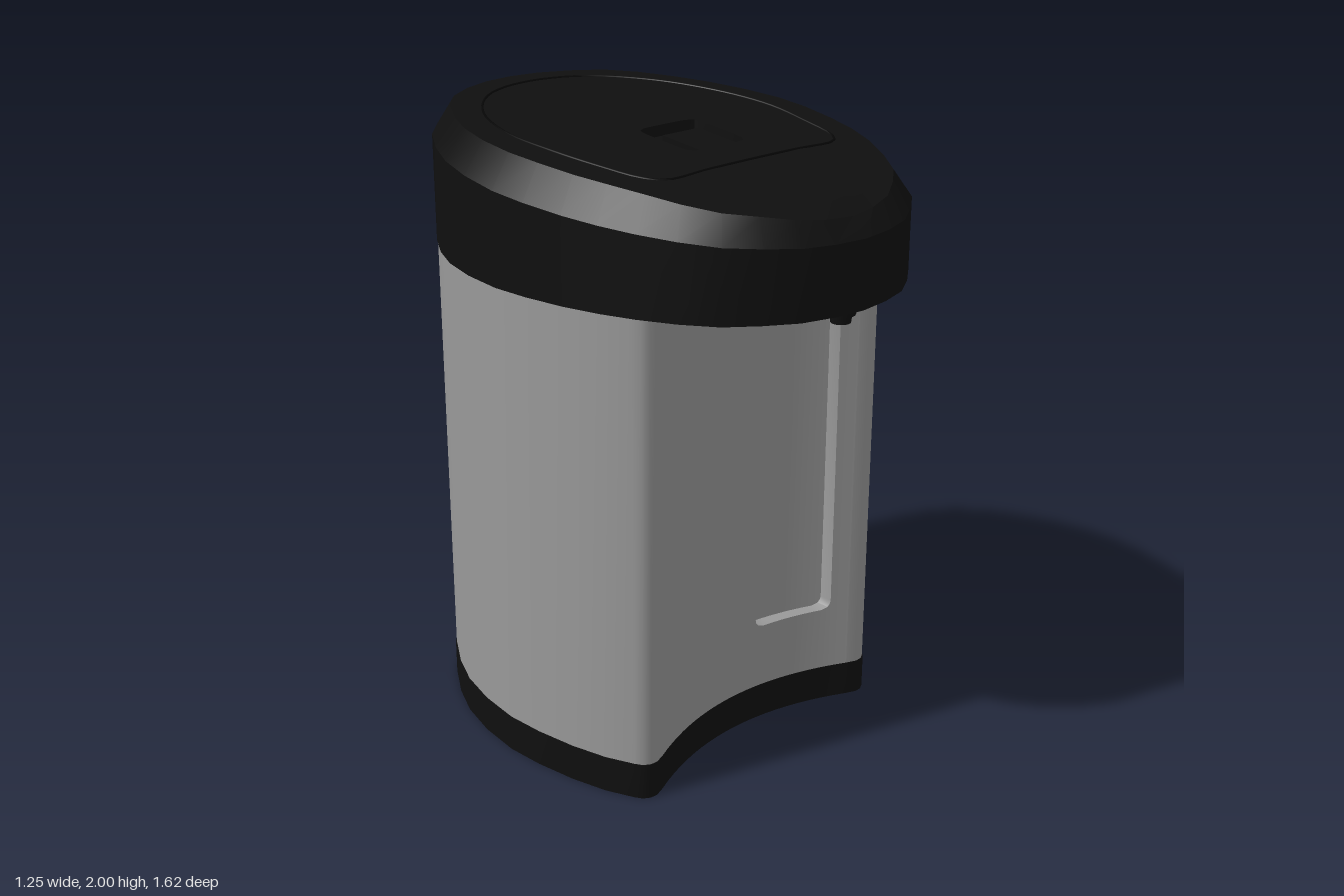
import * as THREE from 'three';
import { toCreasedNormals } from 'three/addons/utils/BufferGeometryUtils.js';

const black = new THREE.MeshStandardMaterial({ color: 0x0f0f0f });
black.name = 'black plastic';
const grey = new THREE.MeshStandardMaterial({ color: 0x999999 });
grey.name = 'brushed grey';
const seamBlack = new THREE.MeshStandardMaterial({ color: 0x060606 });
seamBlack.name = 'seam black';

// Skin between successive rings of [x, y, z] points
function loft(rings, closed = true) {
  const n = rings[0].length, index = [];
  for (let r = 0; r < rings.length - 1; r++) {
    for (let j = 0; j < (closed ? n : n - 1); j++) {
      const a = r * n + j, b = r * n + (j + 1) % n;
      index.push(a, a + n, b, b, a + n, b + n);
    }
  }
  const g = new THREE.BufferGeometry();
  g.setAttribute('position', new THREE.Float32BufferAttribute(rings.flat(2), 3));
  g.setIndex(index);
  return toCreasedNormals(g, 0.5);
}

// Mirror a +x half outline (back to front) into a full loop
const mirror = (half) => [...half, ...half.slice(1, -1).reverse().map(([x, z]) => [-x, z])];
const lerp = THREE.MathUtils.lerp;

// Plan of the lid, back to front
const lidHalf = [[0, -0.81], [0.12, -0.797], [0.24, -0.755], [0.35, -0.69], [0.44, -0.6], [0.515, -0.48],
  [0.57, -0.36], [0.607, -0.22], [0.625, -0.07], [0.618, 0.06], [0.597, 0.2], [0.566, 0.32], [0.525, 0.43],
  [0.47, 0.54], [0.4, 0.64], [0.31, 0.71], [0.215, 0.768], [0.11, 0.797], [0, 0.81]];
const lidPlan = mirror(lidHalf);

// Sloping, slightly crowned top of the lid
const slope = [[-0.81, 2], [-0.64, 2], [0, 1.96], [0.36, 1.92], [0.7, 1.85], [0.81, 1.8]];
function topY(x, z) {
  let i = 0;
  while (i < slope.length - 2 && z > slope[i + 1][0]) i++;
  const [z0, y0] = slope[i], [z1, y1] = slope[i + 1];
  return lerp(y0, y1, (z - z0) / (z1 - z0)) - 0.03 * x * x;
}

// Plan of the body: rounded back and sides, scooped front
const frontZ = (x) => 0.33 + 0.57 * x * x;
const frontX = 0.43;
const sideHalf = [...lidHalf.slice(0, 12), [0.527, 0.41], [0.512, 0.435], [0.49, 0.448], [0.465, 0.449], [frontX, frontZ(frontX)]];
const inset = ([x, z]) => [x * 0.994, z * 0.997];
const steps = (a, b, n) => Array.from({ length: n + 1 }, (_, i) => lerp(a, b, i / n));

export function createModel() {
  const model = new THREE.Group();
  const add = (name, geometry, material, parent = model) => {
    const mesh = new THREE.Mesh(geometry, material);
    mesh.name = name;
    parent.add(mesh);
    return mesh;
  };

  // Base band, with its small upper ledge, and underside
  const scoop = steps(frontX, -frontX, 20).slice(1, -1).map((x) => [x, frontZ(x)]);
  const left = sideHalf.slice(1).reverse().map(([x, z]) => [-x, z]);
  const basePlan = [...sideHalf, ...scoop, ...left];
  const at = (plan, y) => plan.map(([x, z]) => [x, y, z]);
  add('base', loft([at(basePlan, 0), at(basePlan, 0.118),
    basePlan.map(([x, z]) => [x * 0.97, 0.118, z * 0.97])]), black);
  const under = new THREE.ShapeGeometry(new THREE.Shape(basePlan.map(([x, z]) => new THREE.Vector2(x, z))));
  add('underside', under.rotateX(Math.PI / 2), grey);

  // Body shell: sides and back
  const body = new THREE.Group();
  body.name = 'body';
  model.add(body);
  const y0 = 0.11, y1 = 1.57;
  const wrap = [...left, ...sideHalf].map(inset);
  add('sideWall', loft([at(wrap, y0), at(wrap, y1)], false), grey, body);

  // Scooped front wall, built as strips around the recessed window
  const win = { x0: 0.085, x1: 0.37, y0: 0.335, y1: 1.36, r: 0.03, depth: 0.045 };
  const cut = (x) => {
    const d = Math.max(0, win.r - Math.min(x - win.x0, win.x1 - x));
    return win.r - Math.sqrt(Math.max(0, win.r * win.r - d * d));
  };
  const wx = [win.x1, win.x1 - 0.003, win.x1 - 0.01, ...steps(win.x1 - win.r, win.x0 + win.r, 6),
    win.x0 + 0.01, win.x0 + 0.003, win.x0];
  const point = (x, y, back = 0) => {
    const [px, pz] = inset([x, frontZ(x)]);
    return [px, y, pz - back];
  };
  const low = (x) => win.y0 + cut(x), high = (x) => win.y1 - cut(x);
  const strip = (xs, bottom, top, back = 0) =>
    loft([xs.map((x) => point(x, bottom(x), back)), xs.map((x) => point(x, top(x), back))], false);
  const floorY = () => y0, ceilY = () => y1;
  add('frontWallRight', strip(steps(win.x0, -frontX, 14), floorY, ceilY), grey, body);
  add('frontWallLeft', strip(steps(frontX, win.x1, 3), floorY, ceilY), grey, body);
  add('frontWallBelow', strip(wx, floorY, low), grey, body);
  add('frontWallAbove', strip(wx, high, ceilY), grey, body);
  add('windowFloor', strip(wx, low, high, win.depth), grey, body);
  const rim = (back) => [...[...wx].reverse().map((x) => point(x, high(x), back)),
    ...wx.map((x) => point(x, low(x), back))];
  add('windowEdge', loft([rim(0), rim(win.depth)]), grey, body);

  // Lid: underside, wall, chamfer, crowned top and a handle recess
  const lid = new THREE.Group();
  lid.name = 'lid';
  model.add(lid);
  const shoulder = lidPlan.map(([x, z]) => [x * 0.9, z * 0.935]);
  const pocket = lidPlan.map(([x, z]) => {
    const a = Math.atan2(z, x), c = Math.cos(a), s = Math.sin(a);
    const r = 0.12 / Math.pow(c ** 8 + s ** 8, 1 / 8);
    return [r * c, 0.11 + r * s];
  });
  const topRings = [0, 0.2, 0.4, 0.6, 0.8, 1].map((t) => shoulder.map(([x, z], i) => {
    const px = lerp(x, pocket[i][0], t), pz = lerp(z, pocket[i][1], t);
    return [px, topY(px, pz), pz];
  }));
  add('lidShell', loft([
    lidPlan.map(() => [0, 1.56, 0]),
    at(lidPlan, 1.56),
    lidPlan.map(([x, z]) => [x, lerp(1.77, 1.92, (0.81 - z) / 1.62), z]),
    ...topRings,
    pocket.map(([x, z]) => [x, topY(x, z) - 0.035, z]),
    pocket.map(() => [0, topY(0, 0.11) - 0.035, 0.11]),
  ]), black, lid);

  // Finger tab inside the recess
  const tab = add('lidTab', new THREE.BoxGeometry(0.15, 0.03, 0.17), black, lid);
  tab.position.set(0, topY(0, 0.145) - 0.019, 0.145);
  tab.rotation.x = 0.11;

  // Seam of the opening cover
  const seam = mirror([[0, -0.65], [0.2, -0.6], [0.36, -0.44], [0.445, -0.22], [0.457, 0], [0.43, 0.18],
    [0.395, 0.32], [0.35, 0.365], [0.18, 0.365], [0, 0.365]]);
  const path = new THREE.CatmullRomCurve3(seam.map(([x, z]) => new THREE.Vector3(x, topY(x, z), z)), true);
  add('coverSeam', new THREE.TubeGeometry(path, 80, 0.004, 6, true), seamBlack, lid);

  // Stepped pouring spout under the overhang
  const spout = new THREE.LatheGeometry([[0, 1.505], [0.03, 1.505], [0.033, 1.528], [0.043, 1.53],
    [0.046, 1.545], [0.053, 1.547], [0.053, 1.565]].map(([r, y]) => new THREE.Vector2(r, y)), 20);
  add('spout', toCreasedNormals(spout, 0.5), black).position.z = 0.725;

  return model;
}
